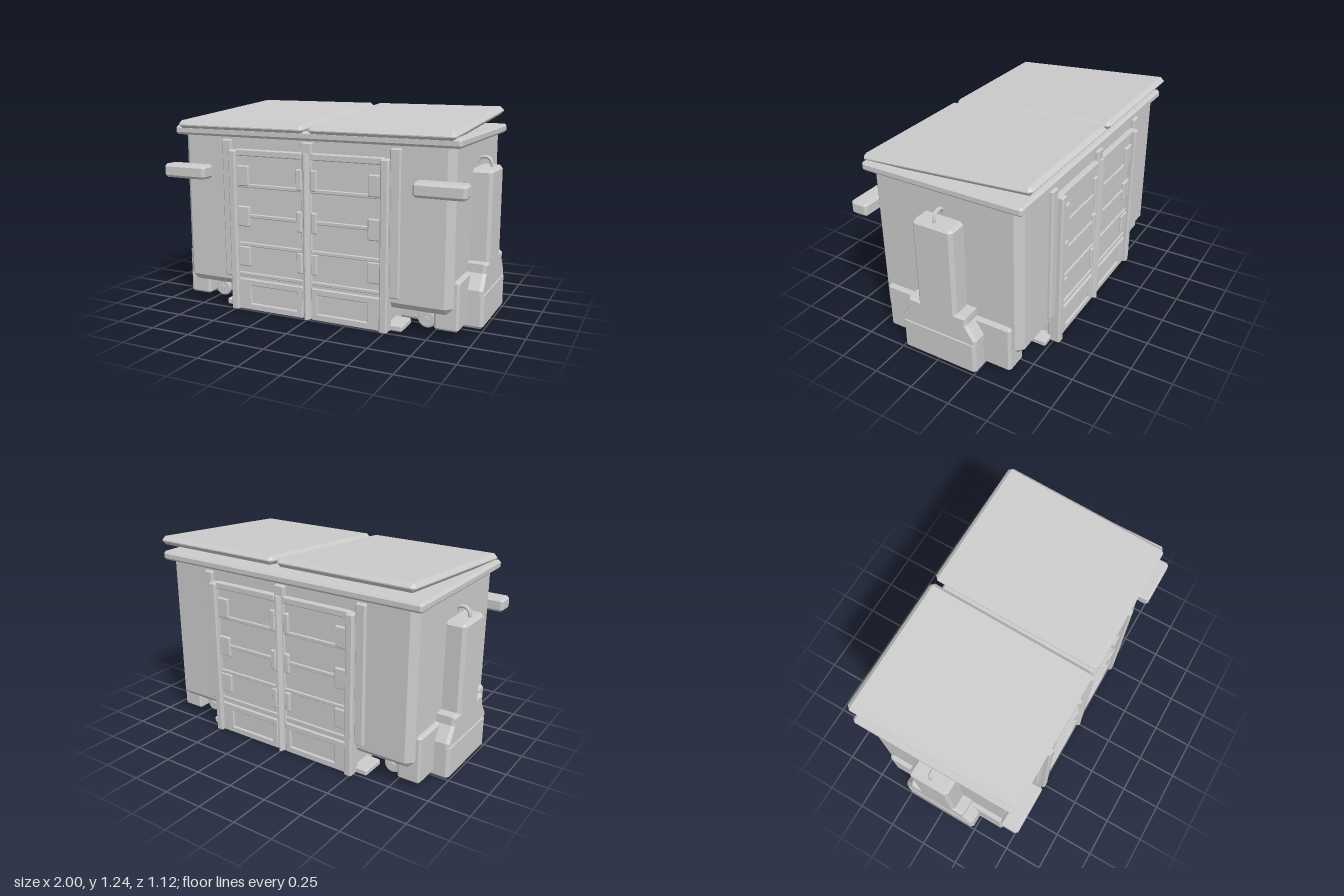
import * as THREE from 'three';
import { ConvexGeometry } from 'three/addons/geometries/ConvexGeometry.js';

const mat = new THREE.MeshStandardMaterial({ color: 0xcccccc, flatShading: true });
const ZC = -0.012; // middle of the bin in depth

function add(parent, name, geometry) {
  const mesh = new THREE.Mesh(geometry, mat);
  mesh.name = name;
  parent.add(mesh);
  return mesh;
}

// Box given by its limits, with every edge chamfered by c
function chamferBox(x0, x1, y0, y1, z0, z1, c) {
  const pts = [];
  for (const sx of [0, 1]) for (const sy of [0, 1]) for (const sz of [0, 1]) {
    const x = sx ? x1 : x0, y = sy ? y1 : y0, z = sz ? z1 : z0;
    const dx = sx ? -c : c, dy = sy ? -c : c, dz = sz ? -c : c;
    pts.push(
      new THREE.Vector3(x, y + dy, z + dz),
      new THREE.Vector3(x + dx, y, z + dz),
      new THREE.Vector3(x + dx, y + dy, z));
  }
  return new ConvexGeometry(pts);
}

// Panelled double door; built facing +z, used on front and back
function doorFace() {
  const g = new THREE.Group();
  add(g, 'centerStrip', chamferBox(-0.035, 0.035, 0.01, 1.07, 0.45, 0.507, 0.006));
  const ridge = [];
  for (const y of [0.01, 1.01]) {
    ridge.push(new THREE.Vector3(-0.033, y, 0.49), new THREE.Vector3(0.033, y, 0.49),
      new THREE.Vector3(-0.004, y, 0.531), new THREE.Vector3(0.004, y, 0.531));
  }
  add(g, 'centerRidge', new ConvexGeometry(ridge));

  for (const s of [-1, 1]) {
    const part = (name, x0, x1, y0, y1, z1, c) =>
      add(g, name, chamferBox(Math.min(s * x0, s * x1), Math.max(s * x0, s * x1), y0, y1, 0.45, z1, c));
    part('doorPost', 0.47, 0.52, 0.005, 1.005, 0.532, 0.008);
    part('bodyRib', 0.515, 0.58, 0.21, 1.065, 0.502, 0.008);
    part('topRail', 0.03, 0.48, 0.97, 1.01, 0.513, 0.005);
    // Slat edges and the tabs at both ends of each slat
    for (const y of [0.79, 0.605, 0.425, 0.235]) {
      part('slatEdge', 0.03, 0.475, y - 0.012, y + 0.012, 0.506, 0.004);
    }
    for (const y of [0.85, 0.6, 0.35]) {
      part('slatTab', 0.39, 0.475, y - 0.063, y + 0.063, 0.512, 0.006);
      part('slatTab', 0.03, 0.068, y - 0.063, y + 0.063, 0.512, 0.006);
    }
    // Frame of the bottom panel
    part('bottomFrame', 0.03, 0.475, 0.165, 0.205, 0.51, 0.005);
    part('bottomFrame', 0.03, 0.475, 0.008, 0.05, 0.51, 0.005);
    part('bottomFrame', 0.39, 0.475, 0.03, 0.19, 0.51, 0.005);
    part('bottomFrame', 0.03, 0.068, 0.03, 0.19, 0.51, 0.005);
  }
  return g;
}

// Side tower with its flared shoulder, wide base and hook; built on +x
function sideTower() {
  const g = new THREE.Group();
  add(g, 'towerColumn', chamferBox(0.82, 0.995, 0.25, 0.925, ZC - 0.13, ZC + 0.13, 0.02));

  const half = [[0.245, 0.215], [0.245, 0.24], [0.185, 0.33], [0.185, 0.375], [0.11, 0.375]];
  const outline = [...half, ...half.map(([z, y]) => [-z, y]).reverse()];
  const shape = new THREE.Shape(outline.map(([z, y]) => new THREE.Vector2(-z, y)));
  const flare = new THREE.ExtrudeGeometry(shape, {
    depth: 0.155, bevelEnabled: true, bevelSegments: 1, bevelSize: 0.012, bevelOffset: -0.002, bevelThickness: 0.02,
  });
  flare.rotateY(Math.PI / 2);
  flare.translate(0.82, 0, ZC);
  add(g, 'towerShoulder', flare);

  add(g, 'towerBase', chamferBox(0.48, 1, 0.01, 0.23, -0.263, 0.236, 0.018));
  add(g, 'lowerWing', chamferBox(0.76, 0.907, 0.037, 0.335, -0.437, 0.412, 0.014));

  const hookPath = new THREE.CatmullRomCurve3([
    [0.957, 0.91], [0.957, 0.945], [0.943, 0.972], [0.915, 0.982], [0.888, 0.975], [0.872, 0.95],
  ].map(([x, y]) => new THREE.Vector3(x, y, ZC)));
  add(g, 'hook', new THREE.TubeGeometry(hookPath, 12, 0.011, 6));
  return g;
}

// Small caster with raised rim, hub and bracket
function caster(z) {
  const g = new THREE.Group();
  const wheel = new THREE.CylinderGeometry(0.045, 0.045, 0.03, 20).rotateX(Math.PI / 2);
  add(g, 'wheel', wheel);
  add(g, 'tyre', new THREE.TorusGeometry(0.042, 0.015, 8, 24));
  add(g, 'hub', new THREE.CylinderGeometry(0.018, 0.018, 0.05, 12).rotateX(Math.PI / 2));
  add(g, 'wheelBracket', chamferBox(-0.03, 0.03, 0.04, 0.11, -0.014, 0.014, 0.004));
  g.position.set(0.7, 0.073, z);
  return g;
}

export function createModel() {
  const root = new THREE.Group();
  root.name = 'wasteContainer';

  // Main bin, rim and the deep core that carries the doors
  add(root, 'binBody', chamferBox(-0.88, 0.88, 0.14, 1.12, -0.492, 0.468, 0.042));
  add(root, 'rim', chamferBox(-0.92, 0.92, 1.08, 1.135, -0.522, 0.498, 0.014));
  add(root, 'doorCore', chamferBox(-0.5, 0.5, 0.006, 1.0, ZC - 0.496, ZC + 0.496, 0.006));

  const front = doorFace();
  front.name = 'frontDoors';
  front.position.z = ZC;
  const back = doorFace();
  back.name = 'backDoors';
  back.position.z = ZC;
  back.rotation.y = Math.PI;
  root.add(front, back);

  for (const s of [-1, 1]) {
    const side = s > 0 ? 'left' : 'right';

    // Tilted lid, lifted at the back
    const lid = add(root, side + 'Lid', chamferBox(-0.44, 0.44, -0.026, 0.026, -0.539, 0.539, 0.023));
    lid.position.set(s * 0.452, 1.179, -0.022);
    lid.rotation.x = 0.072;

    // Front lifting arm
    add(root, side + 'Arm', s > 0
      ? chamferBox(0.67, 0.97, 0.815, 0.9, 0.45, 0.563, 0.016)
      : chamferBox(-0.97, -0.67, 0.815, 0.9, 0.45, 0.563, 0.016));

    const tower = sideTower();
    tower.name = side + 'Tower';
    tower.scale.x = s;
    root.add(tower);

    for (const e of [-1, 1]) {
      const end = e > 0 ? 'Front' : 'Back';
      const wheel = caster(ZC + e * 0.35);
      wheel.name = side + end + 'Caster';
      wheel.position.x *= s;
      root.add(wheel);
      // Low foot beside the door post
      const foot = add(root, side + end + 'Foot', chamferBox(-0.055, 0.055, 0.008, 0.048, -0.08, 0.08, 0.008));
      foot.position.set(s * 0.537, 0, ZC + e * 0.395);
    }
  }
  return root;
}
